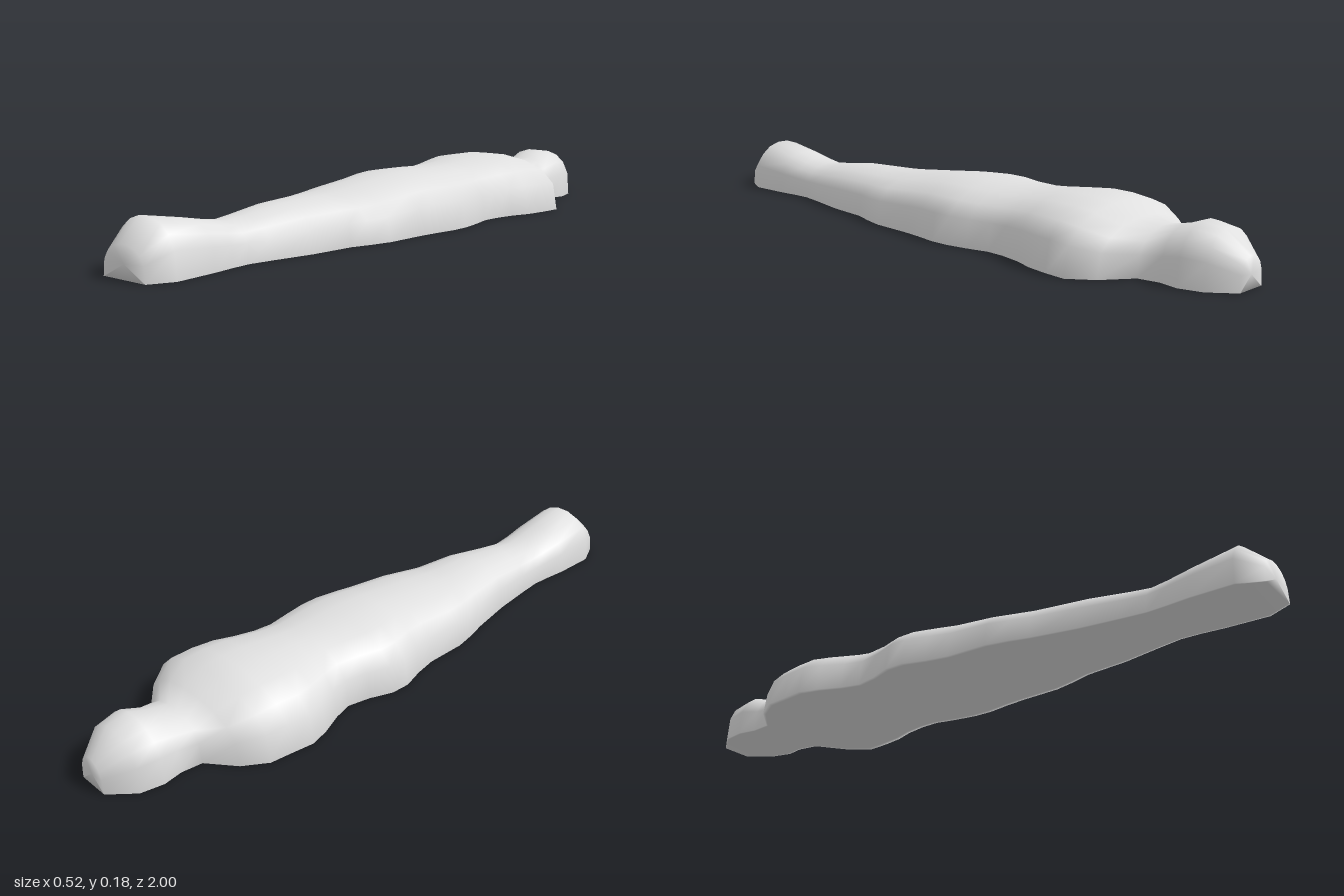
import * as THREE from 'three';

// Cross-sections from head to feet: z, right half-width, left half-width, height
const SECTIONS = [
  [-1, 0.05, 0.05, 0.09], [-0.93, 0.11, 0.105, 0.15], [-0.86, 0.123, 0.122, 0.16],
  [-0.8, 0.113, 0.11, 0.138], [-0.735, 0.12, 0.12, 0.125], [-0.67, 0.2, 0.205, 0.138],
  [-0.6, 0.245, 0.256, 0.17], [-0.53, 0.252, 0.249, 0.178], [-0.46, 0.26, 0.236, 0.178],
  [-0.4, 0.243, 0.213, 0.173], [-0.33, 0.212, 0.198, 0.166], [-0.27, 0.195, 0.195, 0.163],
  [-0.2, 0.209, 0.211, 0.163], [-0.13, 0.235, 0.222, 0.166], [-0.07, 0.236, 0.222, 0.167],
  [0, 0.213, 0.21, 0.165], [0.07, 0.198, 0.202, 0.157], [0.2, 0.195, 0.195, 0.143],
  [0.27, 0.18, 0.177, 0.136], [0.33, 0.162, 0.157, 0.133], [0.47, 0.132, 0.142, 0.13],
  [0.6, 0.114, 0.114, 0.114], [0.67, 0.106, 0.101, 0.107], [0.73, 0.109, 0.103, 0.116],
  [0.8, 0.115, 0.11, 0.13], [0.93, 0.115, 0.115, 0.153], [1, 0.08, 0.08, 0.09],
];
const SIDES = 18; // half over the arch, half across the flat underside

export function createModel() {
  const group = new THREE.Group();
  const sheet = new THREE.MeshStandardMaterial({ color: 0xe0e0e0, side: THREE.DoubleSide });
  sheet.name = 'sheet grey';

  // Closed rings: full-shouldered arches flattened to the ground below
  const positions = [];
  const index = [];
  for (const [z, right, left, height] of SECTIONS) {
    for (let j = 0; j < SIDES; j++) {
      const a = (2 * Math.PI * j) / SIDES;
      const c = Math.cos(a);
      const s = j < SIDES / 2 ? Math.sin(a) : 0;
      positions.push(c * (c > 0 ? left : right), height * s ** 0.65, z);
    }
  }
  for (let i = 0; i < SECTIONS.length - 1; i++) {
    for (let j = 0; j < SIDES; j++) {
      const a = i * SIDES + j;
      const b = i * SIDES + ((j + 1) % SIDES);
      index.push(a, b, a + SIDES, a + SIDES, b, b + SIDES);
    }
  }

  // Fan caps over the crown of the head and the feet
  const last = SECTIONS.length - 1;
  for (const i of [0, last]) {
    const centre = positions.length / 3;
    positions.push(0, 0.04, SECTIONS[i][0]);
    for (let j = 0; j < SIDES; j++) {
      const a = i * SIDES + j;
      const b = i * SIDES + ((j + 1) % SIDES);
      if (i === 0) index.push(centre, b, a);
      else index.push(centre, a, b);
    }
  }

  const geometry = new THREE.BufferGeometry();
  geometry.setAttribute('position', new THREE.Float32BufferAttribute(positions, 3));
  geometry.setIndex(index);
  geometry.computeVertexNormals();
  const body = new THREE.Mesh(geometry, sheet);
  body.name = 'coveredBody';
  group.add(body);
  return group;
}
